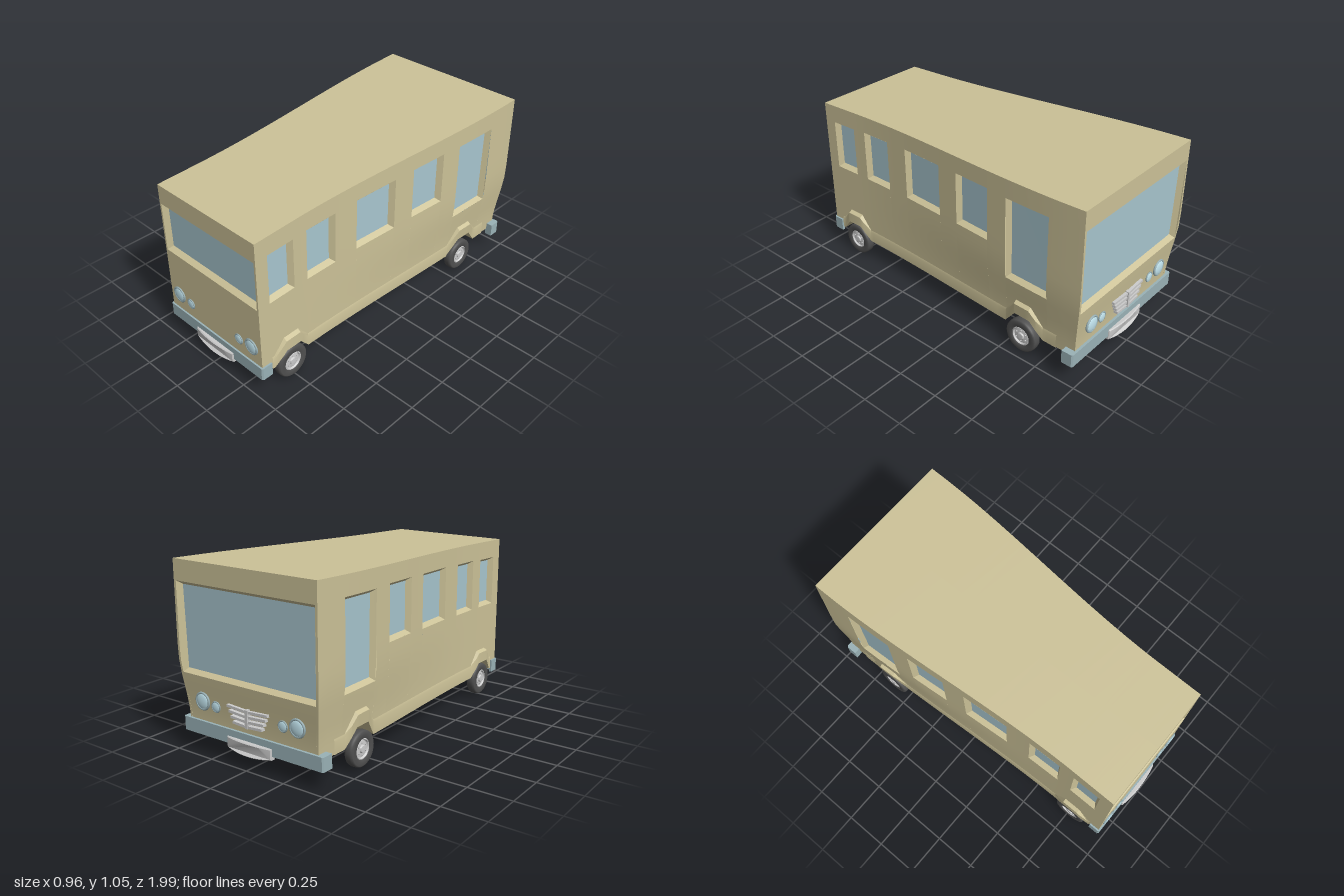
import * as THREE from 'three';
import { toCreasedNormals } from 'three/addons/utils/BufferGeometryUtils.js';

const TAN = 0xccc298, GLASS = 0xa8c6cf, BLUE = 0x9ab2b7, LENS = 0xc2e4ee, DARK = 0x505050, GREY = 0xcccccc;
const BACK = -0.99, FRONT = 0.965, ROOF = 1.011;
const S = THREE.MathUtils.smoothstep, lerp = THREE.MathUtils.lerp;
const range = (a, b, n) => Array.from({ length: n + 1 }, (_, i) => lerp(a, b, i / n));

const mat = (color, side = THREE.FrontSide) => new THREE.MeshStandardMaterial({ color, side });
function add(parent, name, geometry, color, side) {
  const mesh = new THREE.Mesh(geometry, mat(color, side));
  mesh.name = name;
  parent.add(mesh);
  return mesh;
}

// Body mapping: x in -1..1 across, v up, z along; the body flares and rises toward the back
function body(x, v, z) {
  const flare = 1 - S(z, -0.95, 0.7), low = 1 - S(v, 0.15, 0.55);
  const half = 0.375 + 0.1 * flare - 0.035 * low * flare;
  const tuck = 0.035 * low * (1 - S(z, BACK, -0.75));
  return new THREE.Vector3(x * half, v * (1 - 0.037 * z), z + tuck);
}

// Lower edge of the sides, with a trapezoid arch over each wheel
const EDGE = [[BACK, 0.14], [-0.75, 0.14], [-0.67, 0.235], [-0.57, 0.235], [-0.49, 0.136],
  [0.64, 0.136], [0.71, 0.222], [0.81, 0.222], [0.88, 0.14], [FRONT, 0.14]];
function lowerEdge(z) {
  let i = 1;
  while (i < EDGE.length - 1 && z > EDGE[i][0]) i++;
  const [a, b] = [EDGE[i - 1], EDGE[i]];
  return lerp(a[1], b[1], (z - a[0]) / (b[0] - a[0]));
}

// Collects quads and turns them into a creased geometry
class Quads {
  constructor(flip) { this.flip = flip; this.pos = []; }
  quad(a, b, c, d) {
    for (const p of this.flip ? [a, c, b, a, d, c] : [a, b, c, a, c, d]) this.pos.push(p.x, p.y, p.z);
  }
  geometry() {
    const g = new THREE.BufferGeometry();
    g.setAttribute('position', new THREE.Float32BufferAttribute(this.pos, 3));
    return toCreasedNormals(g, 0.45);
  }
}

// A wall f(u, v, depth) with bevelled, recessed windows
function wall(group, name, f, us, lo, hi, holes, flip, inset) {
  const shell = new Quads(flip), glass = new Quads(flip);
  const cuts = [...new Set([...us, ...holes.flatMap(h => [h[0], h[1]])])].sort((a, b) => a - b);
  for (let i = 0; i + 1 < cuts.length; i++) {
    const [u0, u1] = [cuts[i], cuts[i + 1]], mid = (u0 + u1) / 2;
    const h = holes.find(w => mid > w[0] && mid < w[1]);
    const spans = h ? [[null, h[2]], [h[3], hi]] : [[null, hi]];
    for (const [start, end] of spans) {
      const a = start ?? lo(u0), b = start ?? lo(u1), n = start === null ? 10 : 1;
      for (let k = 0; k < n; k++) {
        const s = k / n, t = (k + 1) / n;
        shell.quad(f(u0, lerp(a, end, s), 0), f(u1, lerp(b, end, s), 0),
          f(u1, lerp(b, end, t), 0), f(u0, lerp(a, end, t), 0));
      }
    }
  }
  for (const [a, b, c, d] of holes) {
    const outer = [[a, c], [b, c], [b, d], [a, d]].map(p => f(...p, 0));
    const inner = [[a + inset, c + 0.02], [b - inset, c + 0.02], [b - inset, d - 0.02], [a + inset, d - 0.02]]
      .map(p => f(...p, 0.03));
    for (let k = 0; k < 4; k++) shell.quad(outer[k], outer[(k + 1) % 4], inner[(k + 1) % 4], inner[k]);
    glass.quad(...inner);
  }
  add(group, name, shell.geometry(), TAN, THREE.DoubleSide);
  add(group, name + 'Glass', glass.geometry(), GLASS, THREE.DoubleSide);
}

// A closed grid surface, used for roof, floor and trim
function sheet(group, name, f, us, vs, flip) {
  const q = new Quads(flip);
  for (let i = 0; i + 1 < us.length; i++) for (let j = 0; j + 1 < vs.length; j++)
    q.quad(f(us[i], vs[j]), f(us[i + 1], vs[j]), f(us[i + 1], vs[j + 1]), f(us[i], vs[j + 1]));
  add(group, name, q.geometry(), TAN, THREE.DoubleSide);
}

function buildBody(group) {
  const zs = [...new Set([...range(BACK, FRONT, 28), ...EDGE.map(e => e[0])])].sort((a, b) => a - b);
  const windows = [[0.72, 0.89, 0.592, 0.9], [0.43, 0.63, 0.592, 0.905], [0, 0.28, 0.598, 0.91],
    [-0.37, -0.135, 0.604, 0.912], [-0.78, -0.5, 0.43, 0.905]];
  for (const s of [1, -1]) {
    const side = s > 0 ? 'left' : 'right';
    const f = (z, v, d) => { const p = body(s, v, z); p.x -= s * d; return p; };
    wall(group, side + 'Side', f, zs, lowerEdge, ROOF, windows, s > 0, 0.02);
    // Skirt trim that flares out over the wheel arches
    const trim = (z, k) => {
      const e = lowerEdge(z), out = 0.005 + 0.017 * S(e, 0.136, 0.22);
      const v = [e + 0.08, e + 0.066, e, e][k];
      return f(z, v, [-0.001, -out, -out, 0.03][k]);
    };
    sheet(group, side + 'SkirtTrim', trim, zs.filter(z => z > -0.9 && z < 0.9), [0, 1, 2, 3], s < 0);
  }
  const end = (z, s) => (x, v, d) => { const p = body(x, v, z); p.z -= s * d; return p; };
  wall(group, 'frontEnd', end(FRONT, 1), [-1, 0, 1], () => 0.14, ROOF, [[-0.97, 0.97, 0.586, 0.892]], false, 0.05);
  wall(group, 'backEnd', end(BACK, -1), [-1, 0, 1], () => 0.14, ROOF, [[-0.97, 0.97, 0.425, 0.9]], true, 0.04);
  sheet(group, 'roof', (z, x) => body(x, ROOF, z), zs, [-1, 0, 1], false);
  // Floor with wheel wells that fade out toward the middle
  const floor = (z, x) => body(x, lerp(0.137, lowerEdge(z), S(Math.abs(x), 0.25, 0.9)), z);
  sheet(group, 'floor', floor, zs, range(-1, 1, 16), true);
}

function buildWheels(group) {
  const tyre = new THREE.LatheGeometry([[0.055, -0.027], [0.09, -0.027], [0.098, -0.02], [0.1, -0.008], [0.1, 0.008],
    [0.098, 0.02], [0.09, 0.027], [0.06, 0.027], [0.055, 0.015]].map(p => new THREE.Vector2(...p)), 32);
  const rim = new THREE.LatheGeometry([[0, -0.024], [0.056, -0.024], [0.06, 0.02], [0.052, 0.024], [0.046, 0.015],
    [0.022, 0.018], [0.018, 0.026], [0, 0.027]].map(p => new THREE.Vector2(...p)), 24);
  for (const [label, z, x] of [['front', 0.76, 0.363], ['back', -0.61, 0.428]]) {
    for (const s of [1, -1]) {
      const wheel = new THREE.Group();
      wheel.name = label + (s > 0 ? 'Left' : 'Right') + 'Wheel';
      add(wheel, 'tyre', tyre, DARK, THREE.DoubleSide);
      add(wheel, 'rim', toCreasedNormals(rim, 0.5), GREY, THREE.DoubleSide);
      for (let i = 0; i < 6; i++) {
        const a = i * Math.PI / 3;
        add(wheel, 'wheelNut', new THREE.CylinderGeometry(0.004, 0.004, 0.008, 6), GREY)
          .position.set(0.034 * Math.cos(a), 0.019, 0.034 * Math.sin(a));
      }
      wheel.rotation.z = -s * Math.PI / 2;
      wheel.position.set(s * x, 0.1, z);
      group.add(wheel);
    }
    const axle = add(group, label + 'Axle', new THREE.CylinderGeometry(0.011, 0.011, 2 * x, 16), GREY);
    axle.rotation.z = Math.PI / 2;
    axle.position.set(0, 0.095, z);
  }
}

// Bumper, plate and lamps, built facing +z around the end plane
function buildEnd(label, half, inner, lamps) {
  const end = new THREE.Group();
  end.name = label + 'Fittings';
  const plan = [[-half, -0.07], [-half, -0.008], [-half + 0.008, 0], [half - 0.008, 0], [half, -0.008], [half, -0.07],
    [inner, -0.07], [inner, -0.03], [-inner, -0.03], [-inner, -0.07]].map(p => new THREE.Vector2(p[0], -p[1]));
  const bumper = new THREE.ExtrudeGeometry(new THREE.Shape(plan), { depth: 0.078, bevelEnabled: false });
  bumper.rotateX(-Math.PI / 2);
  add(end, 'bumper', bumper, BLUE).position.y = 0.107;

  // Bowed plate with a curved lower edge
  const xs = range(-0.148, 0.148, 16);
  const outline = [...xs.map(x => new THREE.Vector2(x, 0.078 + 0.6 * x * x)),
    ...xs.slice().reverse().map(x => new THREE.Vector2(x, 0.143))];
  const plate = new THREE.ExtrudeGeometry(new THREE.Shape(outline),
    { depth: 0.022, bevelSize: 0.005, bevelThickness: 0.005, bevelSegments: 1 });
  const p = plate.attributes.position;
  for (let i = 0; i < p.count; i++) p.setZ(i, p.getZ(i) - 0.7 * p.getX(i) ** 2);
  add(end, 'bumperPlate', toCreasedNormals(plate, 0.4), GREY).position.z = -0.003;

  for (const s of [1, -1]) for (const [x, y, r, z] of lamps) {
    add(end, 'lampRing', new THREE.TorusGeometry(r * 0.9, r * 0.13, 8, 32), BLUE).position.set(s * x, y, z);
    const lens = add(end, 'lampLens', new THREE.SphereGeometry(r * 0.88, 24, 12), LENS);
    lens.scale.z = 0.25;
    lens.position.set(s * x, y, z);
  }
  return end;
}

export function createModel() {
  const bus = new THREE.Group();
  bus.name = 'bus';
  buildBody(bus);
  buildWheels(bus);

  const front = buildEnd('front', 0.385, 0.37, [[0.3, 0.287, 0.048, -0.008], [0.2, 0.277, 0.031, -0.008]]);
  front.position.z = 0.975;
  const back = buildEnd('back', 0.48, 0.435, [[0.325, 0.3, 0.05, 0.002], [0.23, 0.287, 0.031, 0]]);
  back.position.z = -0.97;
  back.rotation.y = Math.PI;

  // Slatted grille with a centre post
  const grille = new THREE.Group();
  grille.name = 'grille';
  for (let i = 0; i < 4; i++) for (const s of [1, -1]) {
    const w = 0.1 + 0.013 * i;
    const slat = add(grille, 'grilleSlat', new THREE.BoxGeometry(w, 0.014, 0.024), GREY);
    slat.position.set(s * w / 2, 0.235 + 0.027 * i, 0.002);
    slat.rotation.z = s * 0.06;
  }
  add(grille, 'grillePost', new THREE.BoxGeometry(0.018, 0.1, 0.03), GREY).position.set(0, 0.275, 0.004);
  back.add(grille);
  bus.add(front, back);
  return bus;
}
